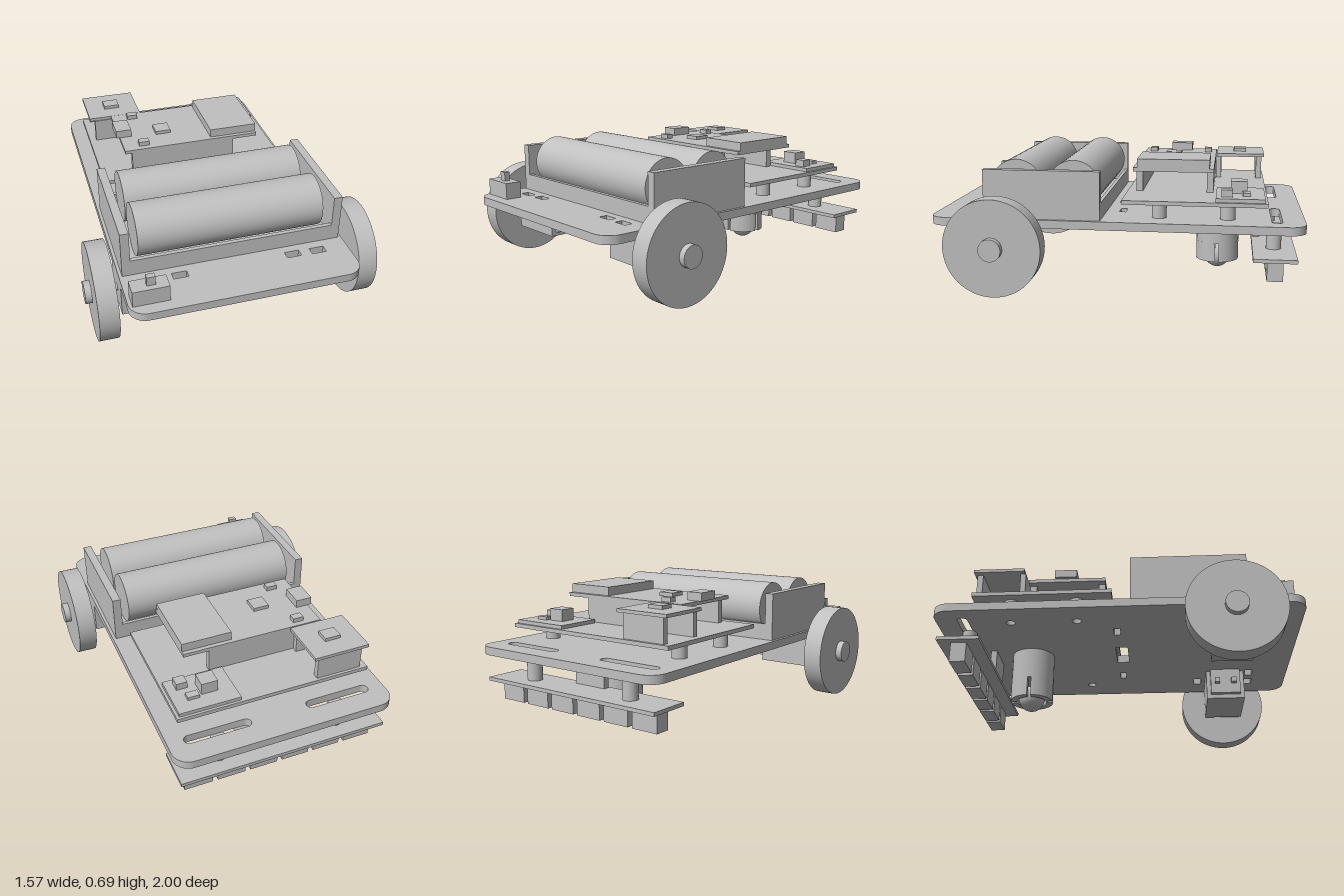
import * as THREE from 'three';
import { toCreasedNormals } from 'three/addons/utils/BufferGeometryUtils.js';

export function createModel() {
  const model = new THREE.Group();
  const grey = new THREE.MeshStandardMaterial({ color: 0xc0c0c0 });
  grey.name = 'light grey';

  const add = (name, geometry) => {
    const mesh = new THREE.Mesh(geometry, grey);
    mesh.name = name;
    model.add(mesh);
    return mesh;
  };
  // box given by its limits on each axis
  const box = (name, x0, x1, y0, y1, z0, z1) => {
    const mesh = add(name, new THREE.BoxGeometry(x1 - x0, y1 - y0, z1 - z0));
    mesh.position.set((x0 + x1) / 2, (y0 + y1) / 2, (z0 + z1) / 2);
    return mesh;
  };
  // upright cylinder between two heights
  const post = (name, r, x, z, y0, y1) => {
    const mesh = add(name, new THREE.CylinderGeometry(r, r, y1 - y0, 32));
    mesh.position.set(x, (y0 + y1) / 2, z);
  };
  // cylinder lying along x
  const rod = (name, r, x0, x1, y, z) => {
    const mesh = add(name, new THREE.CylinderGeometry(r, r, Math.abs(x1 - x0), 64));
    mesh.rotation.z = Math.PI / 2;
    mesh.position.set((x0 + x1) / 2, y, z);
  };
  // plan outline (shape y = -z) extruded upwards
  const plate = (name, shape, y0, y1) => {
    const g = new THREE.ExtrudeGeometry(shape, { depth: y1 - y0, bevelEnabled: false, curveSegments: 16 });
    g.rotateX(-Math.PI / 2).translate(0, y0, 0);
    return add(name, toCreasedNormals(g, 0.6));
  };
  // rounded rectangle path centred on x, z
  const roundRect = (path, x, z, w, d, r) => {
    const l = x - w / 2, R = x + w / 2, b = -z - d / 2, t = -z + d / 2;
    path.moveTo(l + r, b).lineTo(R - r, b);
    path.absarc(R - r, b + r, r, -Math.PI / 2, 0);
    path.absarc(R - r, t - r, r, 0, Math.PI / 2);
    path.absarc(l + r, t - r, r, Math.PI / 2, Math.PI);
    path.absarc(l + r, b + r, r, Math.PI, Math.PI * 1.5);
    return path;
  };
  const rectHole = (x, z, w, d) => {
    const p = new THREE.Path();
    p.moveTo(x - w / 2, -z - d / 2).lineTo(x + w / 2, -z - d / 2);
    p.lineTo(x + w / 2, -z + d / 2).lineTo(x - w / 2, -z + d / 2).closePath();
    return p;
  };

  // chassis deck with slots and screw holes
  const deck = roundRect(new THREE.Shape(), 0, 0, 1.22, 2, 0.09);
  deck.holes.push(rectHole(0, -0.005, 0.21, 0.07), rectHole(0, 0.62, 0.21, 0.07));
  for (const s of [-1, 1]) {
    deck.holes.push(
      rectHole(s * 0.307, -0.018, 0.08, 0.036),
      rectHole(s * 0.307, 0.765, 0.08, 0.045),
      rectHole(s * 0.445, 0.77, 0.08, 0.045),
      rectHole(s * 0.43, 0.45, 0.08, 0.045),
      roundRect(new THREE.Path(), s * 0.34, -0.852, 0.365, 0.056, 0.0279));
    for (const z of [-0.23, -0.595]) {
      const hole = new THREE.Path();
      hole.absarc(s * 0.45, -z, 0.025, 0, Math.PI * 2);
      deck.holes.push(hole);
    }
  }
  plate('chassisDeck', deck, 0.345, 0.39);

  // wheels, axles and gear motors
  for (const s of [-1, 1]) {
    const sx = (name, a, b, ...rest) => box(name, Math.min(s * a, s * b), Math.max(s * a, s * b), ...rest);
    rod('wheel', 0.261, s * 0.645, s * 0.75, 0.261, 0.615);
    rod('wheelHub', 0.06, s * 0.745, s * 0.785, 0.261, 0.615);
    rod('axle', 0.02, s * 0.6, s * 0.65, 0.261, 0.615);
    sx('motorBody', 0.275, 0.61, 0.165, 0.345, 0.5, 0.73);
    sx('motorEnd', 0.245, 0.275, 0.19, 0.345, 0.525, 0.705);
    for (const z of [0.565, 0.665]) sx('motorTerminal', 0.215, 0.245, 0.25, 0.28, z - 0.015, z + 0.015);
  }

  // battery holder and its two cells
  box('holderFloor', -0.593, 0.593, 0.39, 0.415, 0.07, 0.697);
  for (const s of [-1, 1]) box('holderEndWall', s * 0.57 - 0.023, s * 0.57 + 0.023, 0.39, 0.652, 0.07, 0.697);
  box('holderFrontLip', -0.55, 0.55, 0.415, 0.48, 0.674, 0.697);
  box('holderBackLip', -0.55, 0.55, 0.415, 0.48, 0.07, 0.09);
  for (const z of [0.225, 0.536]) rod('battery', 0.14, -0.5, 0.5, 0.555, z);

  // power switch
  box('switchBody', -0.59, -0.4, 0.39, 0.48, 0.845, 0.935);
  box('switchLever', -0.51, -0.465, 0.48, 0.53, 0.875, 0.905);

  // electronics tray on standoffs
  for (const x of [-0.45, 0.45]) for (const z of [-0.23, -0.595]) post('trayStandoff', 0.04, x, z, 0.39, 0.47);
  box('tray', -0.54, 0.535, 0.47, 0.492, -0.802, -0.035);

  // main board on header strips
  box('mainBoard', -0.4, 0.392, 0.625, 0.645, -0.515, -0.08);
  box('mainHeader', -0.36, 0.25, 0.492, 0.625, -0.12, -0.083);
  box('mainHeader', -0.36, 0.25, 0.492, 0.625, -0.512, -0.475);
  box('displayBlock', 0.115, 0.392, 0.645, 0.693, -0.492, -0.102);
  box('usbSocket', -0.42, -0.33, 0.645, 0.69, -0.365, -0.24);
  box('processorChip', -0.187, -0.098, 0.645, 0.665, -0.31, -0.22);
  for (const z of [-0.465, -0.135]) box('button', -0.31, -0.25, 0.645, 0.67, z - 0.021, z + 0.021);

  // raised sensor board
  box('raisedBoard', -0.53, -0.217, 0.625, 0.643, -0.802, -0.52);
  box('raisedHeader', -0.5, -0.245, 0.492, 0.625, -0.545, -0.515);
  box('raisedHeader', -0.5, -0.245, 0.492, 0.625, -0.787, -0.755);
  box('raisedChip', -0.42, -0.33, 0.643, 0.662, -0.695, -0.62);

  // low regulator board
  box('regulatorBoard', 0.185, 0.52, 0.492, 0.512, -0.788, -0.53);
  box('regulatorCoil', 0.275, 0.365, 0.512, 0.577, -0.695, -0.607);
  box('regulatorChip', 0.38, 0.445, 0.512, 0.53, -0.712, -0.67);
  box('regulatorTrimmer', 0.412, 0.472, 0.512, 0.55, -0.617, -0.558);

  // ball caster: solid housing above, four fingers around the ball below
  const cz = -0.537, R = 0.123, r = 0.085, gap = 0.01;
  post('casterHousing', R, 0, cz, 0.165, 0.345);
  const a = Math.asin(gap / R), b = Math.asin(gap / r);
  for (let i = 0; i < 4; i++) {
    const t = i * Math.PI / 2, finger = new THREE.Shape();
    finger.absarc(0, 0, R, t + a, t + Math.PI / 2 - a, false);
    finger.absarc(0, 0, r, t + Math.PI / 2 - b, t + b, true);
    plate('casterFinger', finger, 0.055, 0.165).position.z = cz;
  }
  add('casterBall', new THREE.SphereGeometry(0.075, 32, 20)).position.set(0, 0.075, cz);

  // line sensor bar under the tail
  box('sensorBar', -0.58, 0.58, 0.19, 0.21, -0.96, -0.73);
  box('sensorConnector', -0.1, 0.1, 0.21, 0.345, -0.775, -0.74);
  for (const s of [-1, 1]) {
    post('sensorStandoff', 0.041, s * 0.338, -0.845, 0.21, 0.345);
    for (const x of [0.0925, 0.2775, 0.4625])
      box('lineSensor', s * x - 0.078, s * x + 0.078, 0.08, 0.19, -0.89, -0.805);
  }
  return model;
}
